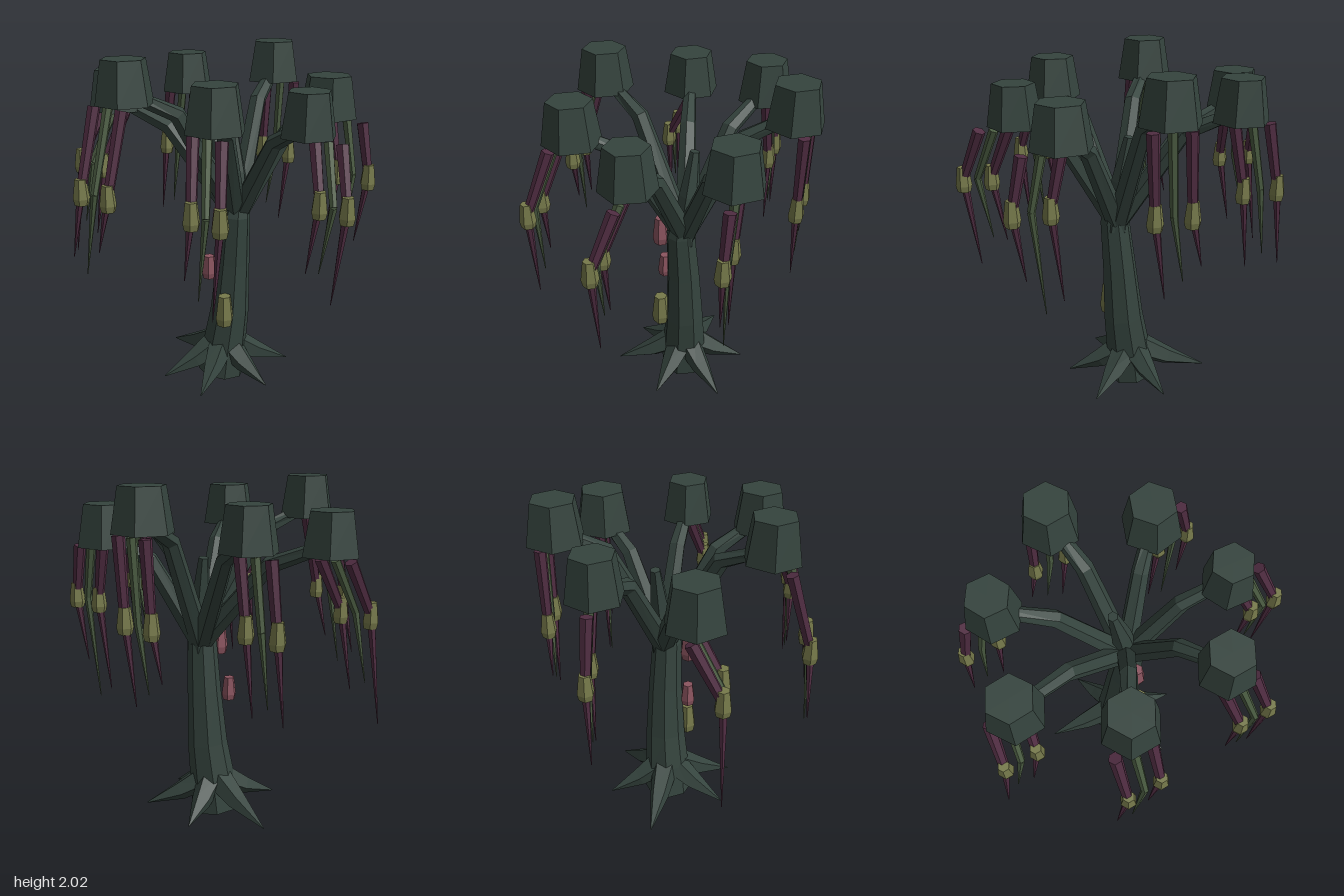
import * as THREE from 'three';

const mat = (name, color) => {
  const m = new THREE.MeshStandardMaterial({ color, flatShading: true });
  m.name = name;
  return m;
};
const V = (x, y, z) => new THREE.Vector3(x, y, z);

// Faceted limb swept through points, with one radius per point and closed ends
function limbGeometry(points, radii, sides) {
  const pos = [], idx = [], n = points.length;
  const dir = points[n - 1].clone().sub(points[0]).normalize();
  const ref = Math.abs(dir.z) < 0.6 ? V(0, 0, 1) : V(1, 0, 0);
  points.forEach((p, i) => {
    const t = points[Math.min(i + 1, n - 1)].clone().sub(points[Math.max(i - 1, 0)]).normalize();
    const u = ref.clone().cross(t).normalize(), v = t.clone().cross(u);
    for (let j = 0; j < sides; j++) {
      const a = (j / sides) * Math.PI * 2;
      const q = p.clone().addScaledVector(u, Math.cos(a) * radii[i]).addScaledVector(v, Math.sin(a) * radii[i]);
      pos.push(q.x, q.y, q.z);
    }
  });
  const at = (i, j) => i * sides + (j % sides);
  const first = n * sides, last = first + 1;
  pos.push(...points[0].toArray(), ...points[n - 1].toArray());
  for (let j = 0; j < sides; j++) {
    for (let i = 0; i < n - 1; i++) {
      idx.push(at(i, j), at(i, j + 1), at(i + 1, j + 1), at(i, j), at(i + 1, j + 1), at(i + 1, j));
    }
    idx.push(first, at(0, j + 1), at(0, j), last, at(n - 1, j), at(n - 1, j + 1));
  }
  const g = new THREE.BufferGeometry();
  g.setAttribute('position', new THREE.Float32BufferAttribute(pos, 3));
  g.setIndex(idx);
  g.computeVertexNormals();
  return g;
}

export function createModel() {
  const tree = new THREE.Group();
  tree.name = 'hangingTree';
  const bark = mat('dark bark green', 0x35443e);
  const purple = mat('vine purple', 0x502d42);
  const green = mat('vine green', 0x4a5b41);
  const olive = mat('bulb olive', 0x777a4b);
  const red = mat('bulb red', 0x8c5560);

  const limb = (parent, name, material, points, radii, sides = 6) => {
    const m = new THREE.Mesh(limbGeometry(points, radii, sides), material);
    m.name = name;
    parent.add(m);
    return m;
  };
  // Bulb: widest a little above its base, narrower at the top
  const bulb = (parent, name, material, c, r, h) => limb(parent, name, material,
    [V(c.x, c.y - h / 2, c.z), V(c.x, c.y - h * 0.25, c.z), V(c.x, c.y + h / 2, c.z)],
    [r * 0.82, r, r * 0.7]);

  // Leaning trunk and the short leader at its top
  limb(tree, 'trunk', bark,
    [V(-0.02, 0, -0.03), V(0, 0.2, -0.04), V(0.03, 0.42, -0.05), V(0.055, 0.75, -0.05), V(0.08, 1.05, -0.04), V(0.08, 1.2, -0.06)],
    [0.145, 0.135, 0.12, 0.1, 0.086, 0.06], 8);
  limb(tree, 'leader', bark, [V(0.08, 1.0, -0.05), V(0.05, 1.3, -0.08), V(0.01, 1.56, -0.1)], [0.08, 0.06, 0.03]);

  // Roots: x and z of each tip
  [[-0.47, -0.12], [-0.13, -0.39], [0.27, -0.34], [0.36, 0.03], [0.12, 0.36], [-0.2, 0.31]].forEach(([x, z]) => {
    const o = V(-0.01, 0, -0.04), tip = V(x, 0, z);
    const p = (k, y) => o.clone().lerp(tip, k).setY(y);
    limb(tree, 'root', bark, [p(0.05, 0.21), p(0.5, 0.11), p(1, 0.035)], [0.09, 0.06, 0.003], 5);
  });

  // Bulbs on the front of the trunk
  bulb(tree, 'upperTrunkBulb', red, V(0.055, 1.035, 0.09), 0.05, 0.17);
  bulb(tree, 'middleTrunkBulb', red, V(-0.02, 0.74, 0.09), 0.045, 0.14);
  bulb(tree, 'lowerTrunkBulb', olive, V(0.09, 0.48, 0.085), 0.056, 0.19);

  // Crowns: position, base height, radius, turn; vines: row centre, spacing, lean, tip drift, tip heights
  const crowns = [
    { x: -0.06, z: -0.63, y: 1.76, r: 0.17, turn: 0.05, row: [-0.05, -0.7], gap: 0.1, lean: [-0.02, 0.01], drift: [-0.06, 0.01], tips: [1, 0.92, 0.83] },
    { x: 0.45, z: -0.43, y: 1.62, r: 0.175, turn: 0.15, row: [0.56, -0.46], gap: 0.1, lean: [0.06, 0.01], drift: [-0.06, 0.02], tips: [0.76, 0.69, 0.9] },
    { x: 0.62, z: 0.07, y: 1.62, r: 0.157, turn: -0.1, row: [0.74, 0.07], gap: 0.08, lean: [0.1, 0.1], drift: [-0.07, 0], tips: [0.9, 0.92, 0.76] },
    { x: 0.33, z: 0.49, y: 1.68, r: 0.165, turn: 0, row: [0.35, 0.58], gap: 0.09, lean: [0.08, 0.12], drift: [-0.05, 0], tips: [0.94, 0.85, 0.76] },
    { x: -0.25, z: 0.52, y: 1.76, r: 0.165, turn: 0, row: [-0.29, 0.61], gap: 0.1, lean: [0, 0.13], drift: [-0.075, 0.01], tips: [0.91, 0.83, 0.98] },
    { x: -0.69, z: 0.13, y: 1.62, r: 0.17, turn: 0.05, row: [-0.735, 0.11], gap: 0.095, lean: [-0.04, 0.16], drift: [-0.075, 0.01], tips: [0.69, 0.91, 0.85] },
    { x: -0.54, z: -0.37, y: 1.68, r: 0.16, turn: -0.05, row: [-0.6, -0.39], gap: 0.1, lean: [-0.06, -0.02], drift: [-0.04, 0.01], tips: [0.83, 0.9, 0.83] },
  ];
  crowns.forEach((c) => {
    const g = new THREE.Group();
    g.name = 'crownBranch';
    tree.add(g);

    // Hexagonal crown
    const crown = new THREE.Mesh(new THREE.CylinderGeometry(c.r * 0.76, c.r, 0.24, 6), bark);
    crown.name = 'crown';
    crown.position.set(c.x, c.y + 0.12, c.z);
    crown.rotation.y = Math.PI / 6 + c.turn;
    g.add(crown);

    // Branch with an elbow
    const start = V(0.07, 1.04, -0.06), end = V(c.x, c.y + 0.06, c.z);
    const elbow = start.clone().lerp(end, 0.55).setY(c.y - 0.08);
    limb(g, 'branch', bark, [start, elbow, end], [0.065, 0.05, 0.036]);

    // Three hanging vines; the outer two carry bulbs
    c.tips.forEach((tipY, i) => {
      const top = V(c.row[0] + (i - 1) * c.gap, c.y - 0.015, c.row[1]);
      const mid = V(top.x + c.lean[0], 1.3, top.z + c.lean[1]);
      const tip = V(mid.x + c.drift[0], tipY, mid.z + c.drift[1]);
      const middle = i === 1;
      const m = middle ? green : purple;
      limb(g, 'vineUpper', m, [top, mid], middle ? [0.028, 0.022] : [0.036, 0.028]);
      limb(g, 'vineTip', m, [mid, tip], [middle ? 0.022 : 0.026, 0.002]);
      if (!middle) bulb(g, 'vineBulb', olive, mid, 0.047, 0.145);
    });
  });
  return tree;
}
